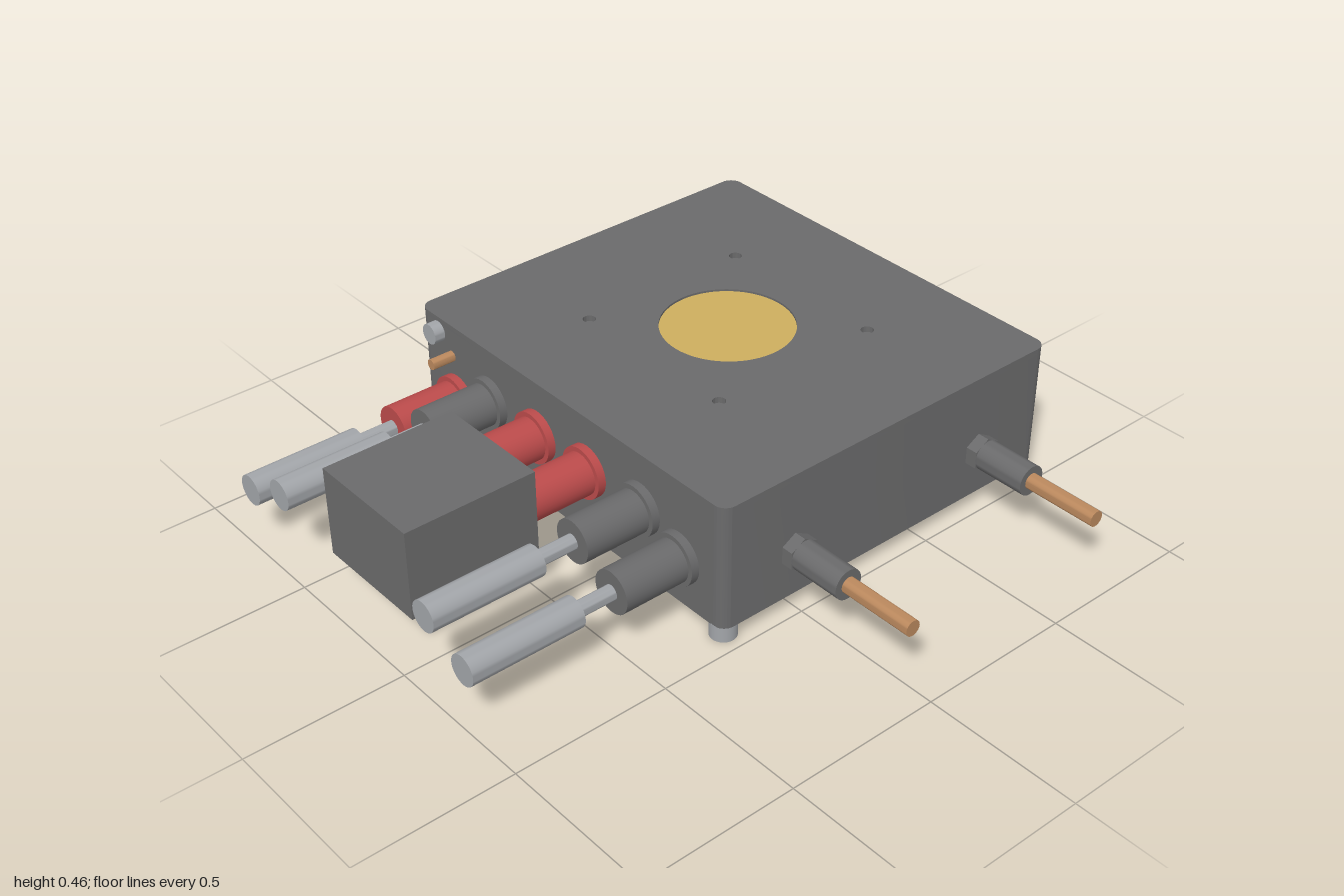
import * as THREE from 'three';
import { toCreasedNormals } from 'three/addons/utils/BufferGeometryUtils.js';

const mat = (name, color) => {
  const m = new THREE.MeshStandardMaterial({ color });
  m.name = name;
  return m;
};

export function createModel() {
  const gray = mat('dark gray', 0x6a6a6b);
  const metal = mat('light metal', 0xa2a5a9);
  const red = mat('red', 0xbb4b4b);
  const copper = mat('copper', 0xba885d);
  const gold = mat('gold', 0xcdae5e);

  const model = new THREE.Group();
  model.name = 'coolingPlateUnit';

  const add = (name, geometry, material, x = 0, y = 0, z = 0, parent = model) => {
    const mesh = new THREE.Mesh(geometry, material);
    mesh.name = name;
    mesh.position.set(x, y, z);
    parent.add(mesh);
  };

  // Cylinder lying along x or z between two coordinates
  const rod = (name, axis, from, to, r, material, a, y, parent = model, sides = 32) => {
    const g = new THREE.CylinderGeometry(r, r, Math.abs(to - from), sides);
    const mid = (from + to) / 2;
    if (axis === 'x') g.rotateZ(Math.PI / 2);
    else g.rotateX(Math.PI / 2);
    const [x, z] = axis === 'x' ? [mid, a] : [a, mid];
    add(name, toCreasedNormals(g, 0.6), material, x, y, z, parent);
  };

  // Housing slabs: rounded outline in plan with holes, extruded upward
  const X0 = -0.27, X1 = 1, Z0 = -0.922, Z1 = 0.47, R = 0.04;
  const slab = (name, y0, y1, holes) => {
    const s = new THREE.Shape();
    const lo = -Z1, hi = -Z0; // plan y is -z
    s.moveTo(X0 + R, lo);
    s.lineTo(X1 - R, lo);
    s.absarc(X1 - R, lo + R, R, -Math.PI / 2, 0);
    s.absarc(X1 - R, hi - R, R, 0, Math.PI / 2);
    s.absarc(X0 + R, hi - R, R, Math.PI / 2, Math.PI);
    s.absarc(X0 + R, lo + R, R, Math.PI, Math.PI * 1.5);
    s.holes.push(...holes);
    const g = new THREE.ExtrudeGeometry(s, { depth: y1 - y0, bevelEnabled: false, curveSegments: 36 });
    g.rotateX(-Math.PI / 2);
    add(name, toCreasedNormals(g, 0.6), gray, 0, y0, 0);
  };
  const roundHole = (x, z, r) => new THREE.Path().absarc(x, -z, r, 0, Math.PI * 2, true);

  // Underside pocket
  const px0 = -0.215, px1 = 0.92, pz0 = -0.565, pz1 = 0.095;
  const pocket = new THREE.Path();
  pocket.moveTo(px0, -pz1);
  pocket.lineTo(px0, -pz0);
  pocket.lineTo(px1, -pz0);
  pocket.lineTo(px1, -pz1);
  pocket.closePath();

  // Plate window and four screw holes in the top
  const cx = 0.362, cz = -0.227;
  const topHoles = [roundHole(cx, cz, 0.207)];
  for (const sx of [-1, 1])
    for (const sz of [-1, 1]) topHoles.push(roundHole(cx + sx * 0.294, cz + sz * 0.294, 0.02));

  slab('housingWalls', 0.05, 0.44, [pocket]);
  slab('housingTop', 0.44, 0.46, topHoles);
  add('goldPlate', new THREE.CylinderGeometry(0.207, 0.207, 0.009, 64), gold, cx, 0.449, cz);

  // Pocket ceiling, closing the housing below the top
  add('pocketCeiling', new THREE.PlaneGeometry(px1 - px0, pz1 - pz0).rotateX(Math.PI / 2), gray,
    (px0 + px1) / 2, 0.345, (pz0 + pz1) / 2);
  // Floor of the screw holes
  add('holeFloor', new THREE.PlaneGeometry(0.66, 0.66).rotateX(-Math.PI / 2), gray, cx, 0.441, cz);

  // Feet
  for (const x of [X0 + 0.04, X1 - 0.04])
    for (const z of [Z0 + 0.042, Z1 - 0.042])
      add('foot', new THREE.CylinderGeometry(0.041, 0.041, 0.052, 24), metal, x, 0.026, z);

  // Front pipe fittings
  for (const x of [-0.006, 0.729]) {
    const fitting = new THREE.Group();
    fitting.name = 'pipeFitting';
    model.add(fitting);
    rod('hexNut', 'z', 0.465, 0.508, 0.055, gray, x, 0.207, fitting, 6);
    rod('fittingBarrel', 'z', 0.505, 0.68, 0.048, gray, x, 0.207, fitting);
    rod('copperPipe', 'z', 0.675, 0.922, 0.025, copper, x, 0.207, fitting);
  }

  // Side terminals: [z, y, colour, has plug pin]
  const terminals = [
    [-0.745, 0.207, red, true],
    [-0.576, 0.282, gray, true],
    [-0.343, 0.282, red, false],
    [-0.112, 0.282, red, false],
    [0.124, 0.282, gray, true],
    [0.289, 0.207, gray, true],
  ];
  for (const [z, y, color, pin] of terminals) {
    const t = new THREE.Group();
    t.name = 'terminal';
    model.add(t);
    rod('flange', 'x', -0.296, -0.265, 0.083, color, z, y, t);
    rod('barrel', 'x', -0.51, -0.29, 0.068, color, z, y, t);
    if (!pin) continue;
    rod('pinNeck', 'x', -0.64, -0.505, 0.024, metal, z, y, t);
    rod('pinSleeve', 'x', -1, -0.635, 0.048, metal, z, y, t);
  }

  // Block plugged onto the two middle terminals
  add('plugBlock', new THREE.BoxGeometry(0.428, 0.29, 0.39), gray, -0.724, 0.284, -0.228);

  // Grounding screw and small copper stub
  rod('groundScrew', 'x', -0.305, -0.265, 0.033, metal, -0.828, 0.412);
  rod('copperStub', 'x', -0.348, -0.265, 0.017, copper, -0.764, 0.352);

  return model;
}
